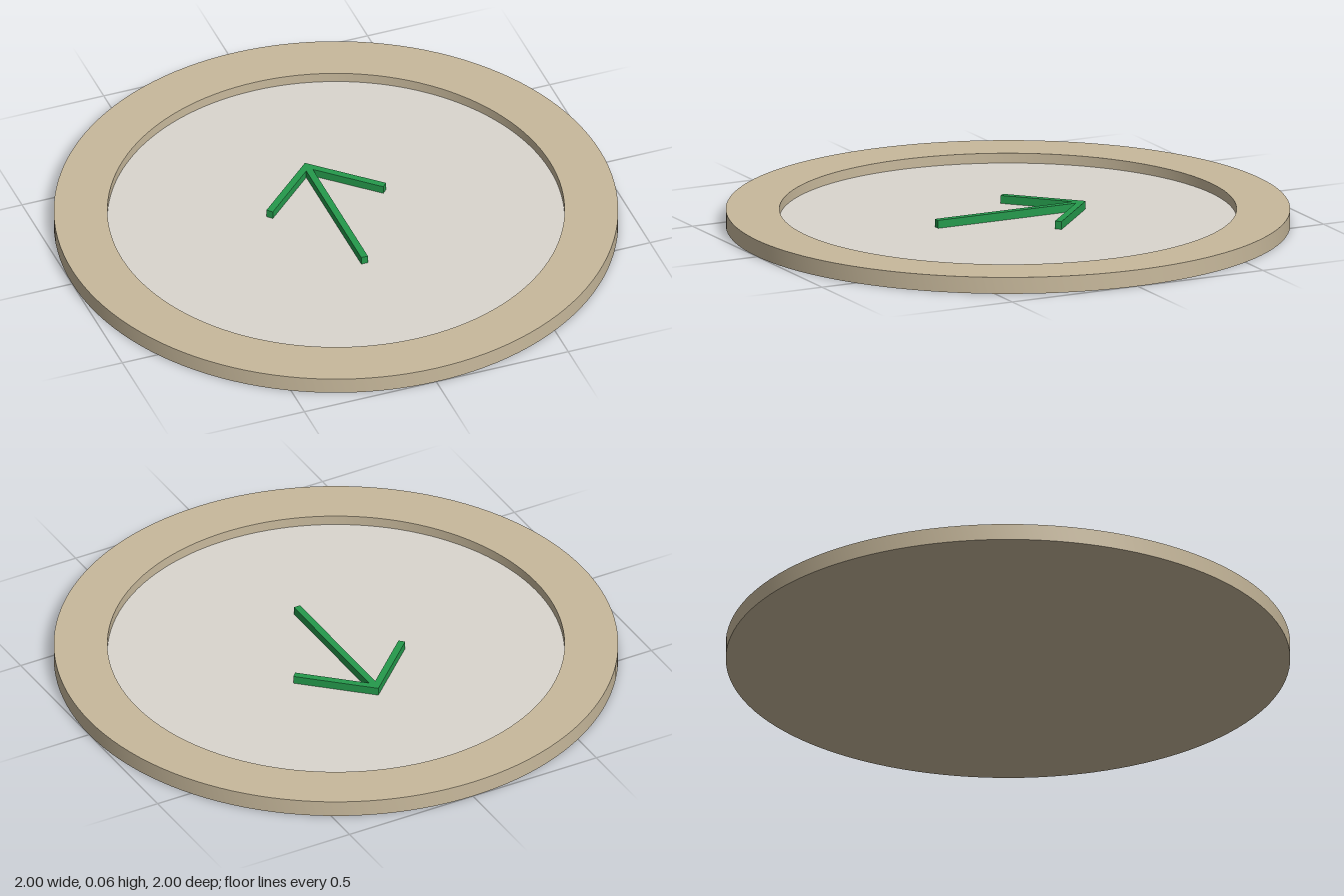
import * as THREE from 'three';
import { toCreasedNormals } from 'three/addons/utils/BufferGeometryUtils.js';

const SEGMENTS = 128;
const HEIGHT = 0.06, FLOOR = 0.024, INNER = 0.81;

function addMesh(parent, name, geometry, color) {
  const mesh = new THREE.Mesh(geometry, new THREE.MeshStandardMaterial({ color }));
  mesh.name = name;
  parent.add(mesh);
  return mesh;
}

export function createModel() {
  const model = new THREE.Group();
  model.name = 'arrowDisc';

  // Shallow round tray: flat underside, outer wall, wide rim, recess
  const profile = [[0, 0], [1, 0], [1, HEIGHT], [INNER, HEIGHT], [INNER, 0.012], [0, 0.012]]
    .map(([r, y]) => new THREE.Vector2(r, y));
  const tray = toCreasedNormals(new THREE.LatheGeometry(profile, SEGMENTS), 0.6);
  addMesh(model, 'tray', tray, 0xc8b99c);

  // Pale plate filling the bottom of the recess
  const plate = new THREE.CylinderGeometry(INNER, INNER, FLOOR - 0.006, SEGMENTS);
  plate.translate(0, (FLOOR + 0.006) / 2, 0);
  addMesh(model, 'innerPlate', plate, 0xdad6ce);

  // Raised arrow pointing to the back
  const arrow = new THREE.Group();
  arrow.name = 'arrow';
  model.add(arrow);
  const bar = (name, x1, z1, x2, z2) => {
    const length = Math.hypot(x2 - x1, z2 - z1);
    const mesh = addMesh(arrow, name, new THREE.BoxGeometry(0.025, 0.03, length), 0x259a4c);
    mesh.position.set((x1 + x2) / 2, FLOOR + 0.014, (z1 + z2) / 2);
    mesh.rotation.y = Math.atan2(x2 - x1, z2 - z1);
  };
  bar('arrowShaft', 0, -0.29, 0, 0.285);
  for (const [side, name] of [[1, 'leftBarb'], [-1, 'rightBarb']]) {
    bar(name, -side * 0.008, -0.3, side * 0.218, -0.088);
  }

  return model;
}
